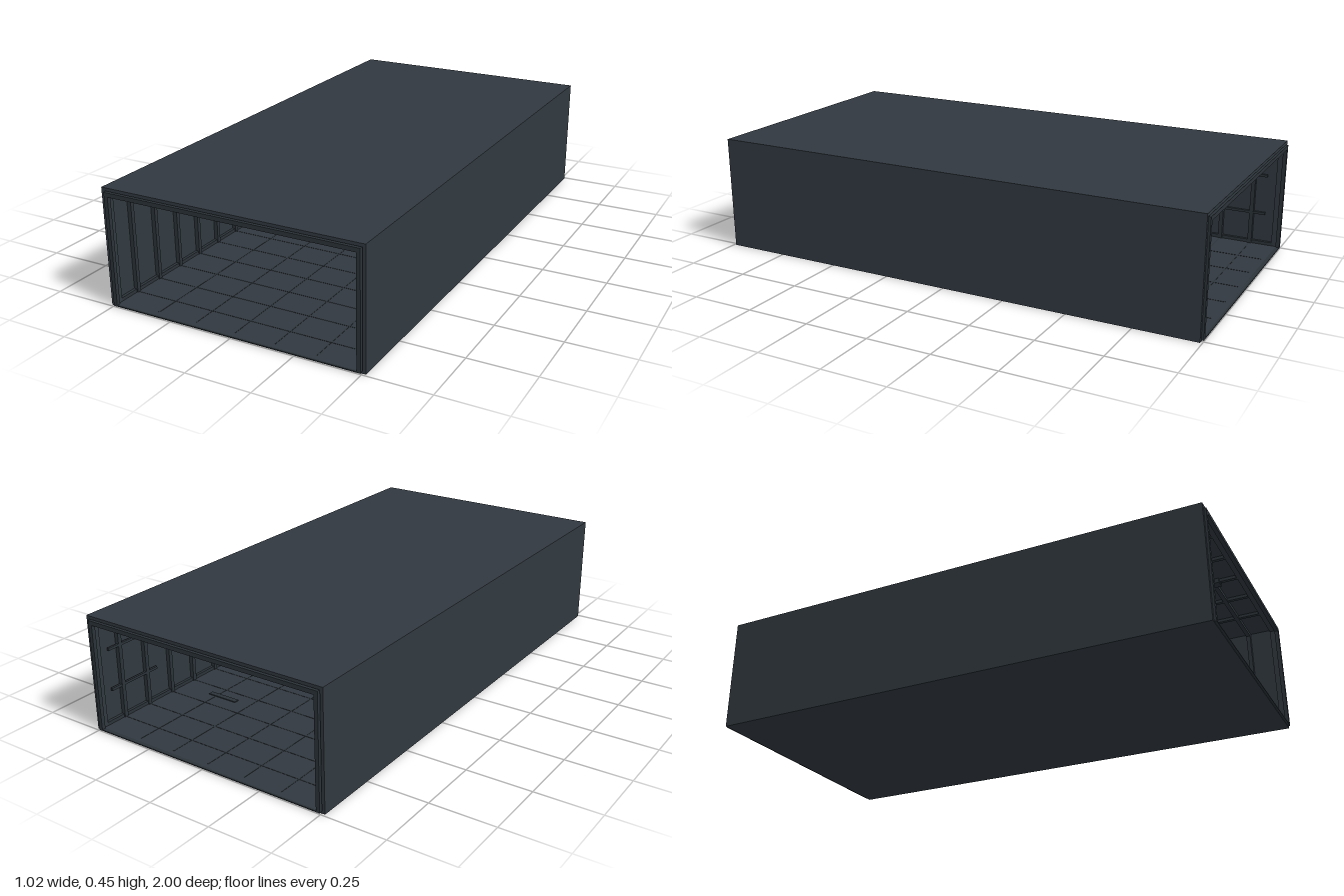
import * as THREE from 'three';

const shellMat = new THREE.MeshStandardMaterial({ name: 'dark slate', color: 0x30383f });
const trimMat = new THREE.MeshStandardMaterial({ name: 'deep slate trim', color: 0x2b3339 });

export function createModel() {
  const model = new THREE.Group();
  model.name = 'openCorridorModule';

  // Box given by its min and max corners
  const box = (name, x0, x1, y0, y1, z0, z1, mat = shellMat) => {
    const mesh = new THREE.Mesh(new THREE.BoxGeometry(x1 - x0, y1 - y0, z1 - z0), mat);
    mesh.position.set((x0 + x1) / 2, (y0 + y1) / 2, (z0 + z1) / 2);
    mesh.name = name;
    model.add(mesh);
    return mesh;
  };

  // Rectangular tube running along z
  const tube = (name, outer, inner, z0, z1, mat = shellMat) => {
    const [ox, oy0, oy1] = outer, [ix, iy0, iy1] = inner;
    const shape = new THREE.Shape([
      new THREE.Vector2(-ox, oy0), new THREE.Vector2(ox, oy0),
      new THREE.Vector2(ox, oy1), new THREE.Vector2(-ox, oy1)]);
    shape.holes.push(new THREE.Path([
      new THREE.Vector2(-ix, iy0), new THREE.Vector2(-ix, iy1),
      new THREE.Vector2(ix, iy1), new THREE.Vector2(ix, iy0)]));
    const mesh = new THREE.Mesh(
      new THREE.ExtrudeGeometry(shape, { depth: z1 - z0, bevelEnabled: false }), mat);
    mesh.position.z = z0;
    mesh.name = name;
    model.add(mesh);
  };

  // Outer shell with floor, walls and roof
  tube('shell', [0.512, 0, 0.45], [0.5, 0.007, 0.438], -0.992, 0.992);

  // Stepped collars around both open ends
  for (const s of [-1, 1]) {
    const span = (a, b) => (s > 0 ? [a, b] : [-b, -a]);
    tube('endCollar', [0.497, 0.003, 0.436], [0.482, 0.007, 0.42], ...span(0.985, 1), trimMat);
    tube('innerCollar', [0.501, 0.004, 0.439], [0.488, 0.007, 0.426], ...span(0.965, 0.985));
  }

  // Wall ribs, ceiling crossbeams and floor seams at regular bays
  for (let i = -7; i <= 7; i++) {
    const z = i * 0.125;
    for (const s of [-1, 1]) {
      box('wallRib', s > 0 ? 0.484 : -0.501, s > 0 ? 0.501 : -0.484,
        0.006, 0.439, z - 0.008, z + 0.008, trimMat);
    }
    box('ceilingCrossbeam', -0.5, 0.5, 0.424, 0.439, z - 0.008, z + 0.008, trimMat);
    box('floorSeam', -0.484, 0.484, 0.006, 0.008, z - 0.002, z + 0.002, trimMat);
  }

  // Lengthwise ceiling beams and floor seams
  for (const x of [-0.32, -0.16, 0, 0.16, 0.32]) {
    box('ceilingBeam', x - 0.007, x + 0.007, 0.426, 0.439, -0.97, 0.97, trimMat);
    box('floorSeam', x - 0.002, x + 0.002, 0.006, 0.008, -0.97, 0.97, trimMat);
  }

  // Central ceiling spine and skirtings along the walls
  box('ceilingSpine', -0.018, 0.018, 0.418, 0.436, -0.9, 0.9, trimMat);
  for (const s of [-1, 1]) {
    box('skirting', s > 0 ? 0.488 : -0.501, s > 0 ? 0.501 : -0.488,
      0.006, 0.02, -0.97, 0.97, trimMat);
    // Short conduits near the rear end
    for (const y of [0.14, 0.3]) {
      box('wallConduit', s > 0 ? 0.485 : -0.494, s > 0 ? 0.494 : -0.485,
        y - 0.005, y + 0.005, -0.93, -0.7, trimMat);
    }
  }

  // Loose plates on the floor and a thin shelf strip
  box('floorPlate', 0.222, 0.352, 0.006, 0.0105, -0.565, -0.545, trimMat);
  box('floorPlate', -0.3, -0.235, 0.006, 0.0105, -0.12, -0.08, trimMat);
  box('shelfStrip', -0.387, -0.29, 0.332, 0.334, -0.03, 0.03, trimMat);

  return model;
}
